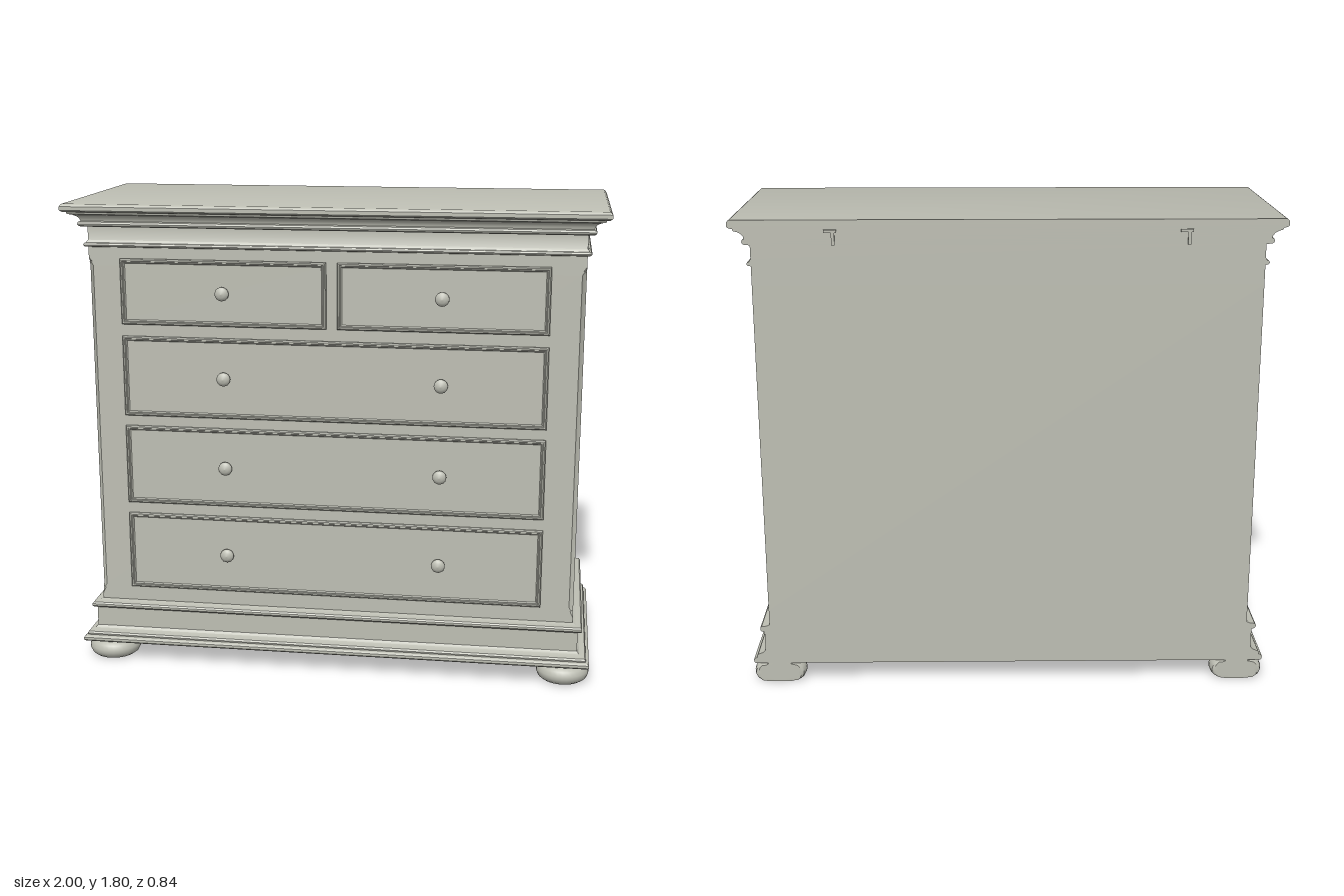
import * as THREE from 'three';
import { toCreasedNormals } from 'three/addons/utils/BufferGeometryUtils.js';

const HALF_W = 0.92, FRONT = 0.343, BACK = -0.413;

// Skin a list of rings (same point count, counter-clockwise about the advance direction).
function loft(rings, capStart, capEnd) {
  const pos = [];
  const tri = (a, b, c) => {
    const n = b.clone().sub(a).cross(c.clone().sub(a));
    if (n.length() > 1e-9) for (const p of [a, b, c]) pos.push(p.x, p.y, p.z);
  };
  for (let r = 0; r < rings.length - 1; r++) {
    const A = rings[r], B = rings[r + 1];
    for (let i = 0; i < A.length; i++) {
      const j = (i + 1) % A.length;
      tri(A[i], A[j], B[j]);
      tri(A[i], B[j], B[i]);
    }
  }
  const first = rings[0], last = rings[rings.length - 1];
  for (let i = 1; i < first.length - 1; i++) {
    if (capStart) tri(first[0], first[i + 1], first[i]);
    if (capEnd) tri(last[0], last[i], last[i + 1]);
  }
  const g = new THREE.BufferGeometry();
  g.setAttribute('position', new THREE.Float32BufferAttribute(pos, 3));
  return toCreasedNormals(g, 0.6);
}

// Horizontal section of the chest: grows on the front and sides, stays flat at the back.
function section([offset, y, chamfer = 0, back = BACK]) {
  const x = HALF_W + offset, z = FRONT + offset, c = chamfer;
  return [[-x + c, z], [x - c, z], [x, z - c], [x, back], [-x, back], [-x, z - c]]
    .map(([px, pz]) => new THREE.Vector3(px, y, pz));
}

// Rectangle in the front plane, shrunk by an inset.
function rect(x0, x1, y0, y1, inset, z) {
  return [[x0 + inset, y0 + inset], [x1 - inset, y0 + inset], [x1 - inset, y1 - inset], [x0 + inset, y1 - inset]]
    .map(([x, y]) => new THREE.Vector3(x, y, z));
}

const lathe = (points, segments) => new THREE.LatheGeometry(points.map(p => new THREE.Vector2(...p)), segments);

export function createModel() {
  const group = new THREE.Group();
  const paint = new THREE.MeshStandardMaterial({ color: 0xbdbeb3 });
  paint.name = 'pale grey paint';
  const add = (name, geometry, x = 0, y = 0, z = 0) => {
    const mesh = new THREE.Mesh(geometry, paint);
    mesh.name = name;
    mesh.position.set(x, y, z);
    group.add(mesh);
    return mesh;
  };

  // Plinth: hollow underneath, stepped moulding, bead on top
  const plinth = [
    [-0.03, 0.2, 0, -0.4], [-0.03, 0.078, 0, -0.4], [0.06, 0.078], [0.066, 0.084], [0.066, 0.094], [0.06, 0.1],
    [0.052, 0.102], [0.054, 0.108], [0.05, 0.115], [0.04, 0.119], [0.028, 0.124], [0.02, 0.133],
    [0.02, 0.21], [0.031, 0.212], [0.036, 0.218], [0.036, 0.226], [0.031, 0.232], [0.012, 0.234], [0, 0.24],
  ];
  add('plinth', loft(plinth.map(section), true, false));

  // Case: front corners chamfered between two stops
  const caseRows = [
    [0, 0.238], [0, 0.26], [0, 0.285, 0.012], [0, 0.287, 0.008], [0, 0.3, 0.016],
    [0, 1.565, 0.016], [0, 1.578, 0.008], [0, 1.58, 0.012], [0, 1.595], [0, 1.635],
  ];
  add('case', loft(caseRows.map(section), false, false));

  // Frieze with a thin bead, then the cornice and flat top
  const cornice = [
    [0, 1.634], [0.012, 1.637], [0.016, 1.643], [0.012, 1.649], [0.006, 1.651], [0.004, 1.656], [0, 1.66],
    [0, 1.71], [0.02, 1.711], [0.027, 1.715], [0.03, 1.722], [0.027, 1.729], [0.02, 1.732],
    [0.022, 1.74], [0.03, 1.75], [0.043, 1.757], [0.058, 1.761], [0.06, 1.768],
    [0.072, 1.77], [0.08, 1.776], [0.08, 1.79], [0.075, 1.797], [0.07, 1.8],
  ];
  add('corniceAndTop', loft(cornice.map(section), false, true));

  // Drawer fronts: raised moulded rim around a flat panel
  const rim = [[0, 0.343], [0, 0.35], [0.004, 0.354], [0.009, 0.354], [0.011, 0.351], [0.014, 0.351], [0.018, 0.346]];
  const drawers = [
    [-0.8, -0.022, 1.345, 1.593], [0.018, 0.796, 1.345, 1.593],
    [-0.8, 0.796, 0.992, 1.3], [-0.8, 0.796, 0.645, 0.952], [-0.8, 0.796, 0.298, 0.602],
  ];
  for (const [x0, x1, y0, y1] of drawers) {
    add('drawerFront', loft(rim.map(([inset, z]) => rect(x0, x1, y0, y1, inset, z)), false, true));
  }

  // Round knobs on short stems
  const knobGeometry = lathe([
    [0.012, 0], [0.011, 0.005], [0.02, 0.009], [0.026, 0.015], [0.026, 0.021],
    [0.021, 0.028], [0.012, 0.033], [0, 0.035],
  ], 24);
  knobGeometry.rotateX(Math.PI / 2);
  for (const y of [1.47, 1.147, 0.798, 0.448]) {
    for (const x of [-0.411, 0.406]) add('knob', knobGeometry, x, y, 0.345);
  }

  // Bun feet; the rear pair is cut flush with the back
  const footProfile = [
    [0, 0], [0.06, 0], [0.08, 0.004], [0.093, 0.014], [0.1, 0.03], [0.1, 0.042],
    [0.093, 0.058], [0.08, 0.068], [0.062, 0.073], [0.06, 0.08],
  ];
  for (const side of [-1, 1]) {
    for (const z of [0.308, -0.37]) {
      const foot = lathe(footProfile, 32).toNonIndexed();
      const p = foot.attributes.position;
      for (let i = 0; i < p.count; i++) p.setZ(i, Math.max(p.getZ(i), BACK - z));
      add('foot', toCreasedNormals(foot, 0.6), side * 0.888, 0, z);
    }
    // Corner blocks inside the plinth
    for (const z of [0.275, -0.36]) add('cornerBlock', new THREE.BoxGeometry(0.08, 0.125, 0.08), side * 0.852, 0.14, z);
    // Hangers on the back
    add('hangerPlate', new THREE.BoxGeometry(0.045, 0.01, 0.008), side * 0.635, 1.76, -0.416);
    add('hangerTongue', new THREE.BoxGeometry(0.012, 0.045, 0.008), side * 0.635 - 0.01, 1.732, -0.416);
  }
  return group;
}
